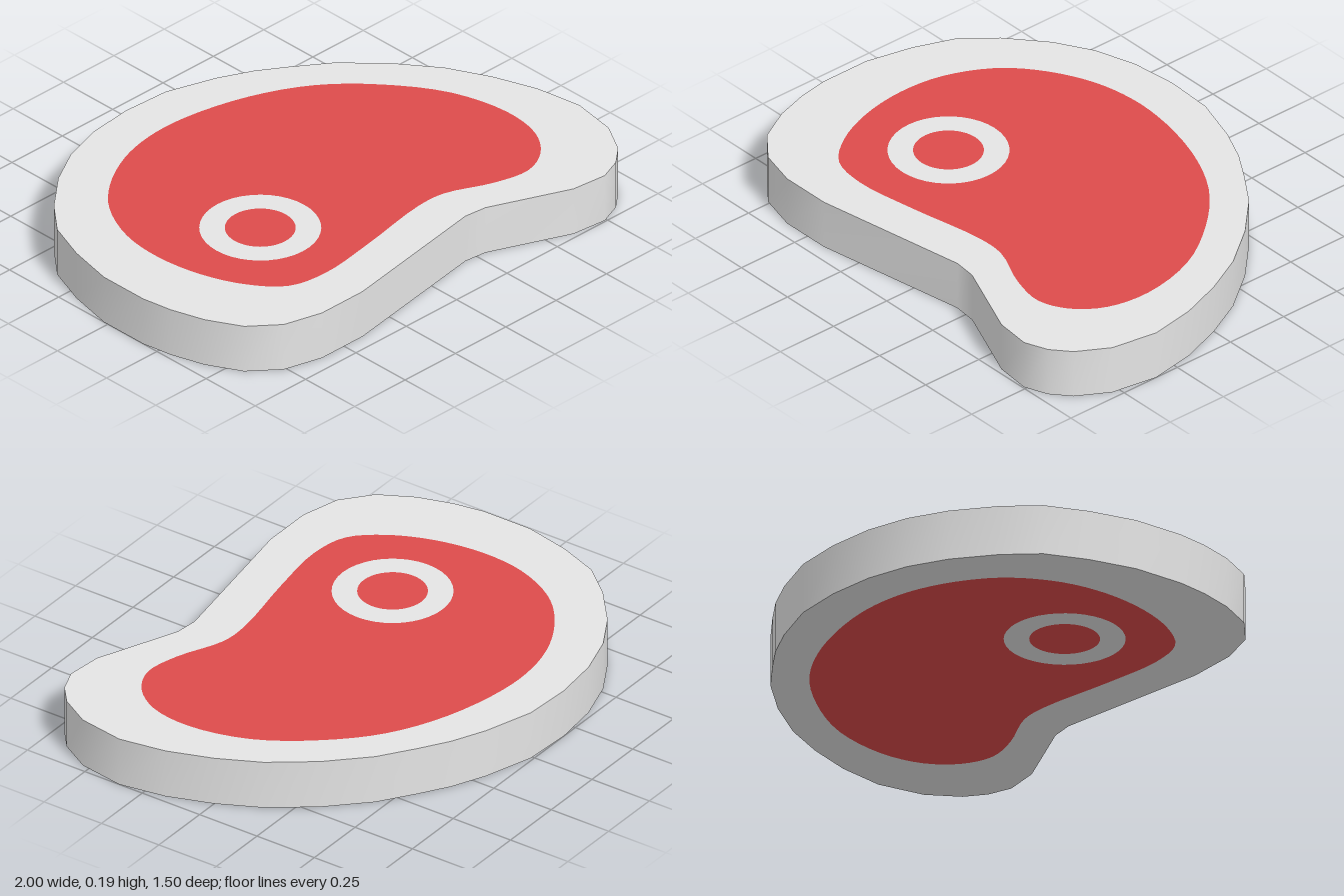
import * as THREE from 'three';

const HEIGHT = 0.19;

// Outer edge of the slab as [x, z], clockwise from above
const OUTLINE = [
  [-1, -0.02], [-0.96, -0.2], [-0.9, -0.36], [-0.8, -0.48], [-0.66, -0.6], [-0.52, -0.68],
  [-0.36, -0.73], [-0.18, -0.75], [0.01, -0.74], [0.2, -0.68], [0.33, -0.62], [0.44, -0.55],
  [0.57, -0.46], [0.71, -0.32], [0.83, -0.16], [0.91, 0], [0.97, 0.17], [1, 0.35],
  [0.97, 0.53], [0.9, 0.65], [0.83, 0.71], [0.74, 0.745], [0.6, 0.73], [0.29, 0.6],
  [0.2, 0.59], [-0.41, 0.69], [-0.61, 0.69], [-0.76, 0.65], [-0.87, 0.56], [-0.94, 0.43],
  [-0.98, 0.3], [-1, 0.18],
];

// Control points for the edge between fat and meat
const MEAT = [
  [-0.77, 0.02], [-0.75, -0.16], [-0.67, -0.33], [-0.56, -0.44], [-0.4, -0.53], [-0.24, -0.57],
  [-0.06, -0.57], [0.2, -0.51], [0.42, -0.4], [0.59, -0.24], [0.73, -0.03], [0.785, 0.2],
  [0.76, 0.37], [0.68, 0.48], [0.57, 0.53], [0.43, 0.505], [0.25, 0.43], [0.13, 0.425],
  [-0.18, 0.48], [-0.42, 0.51], [-0.57, 0.48], [-0.67, 0.37], [-0.74, 0.21],
];

function smoothLoop(points, count) {
  const curve = new THREE.CatmullRomCurve3(points.map(([x, z]) => new THREE.Vector3(x, 0, z)), true);
  return curve.getPoints(count).slice(0, count).map((p) => [p.x, p.z]);
}

function circleLoop(cx, cz, radius, count = 40) {
  return Array.from({ length: count }, (_, i) => {
    const a = (i / count) * Math.PI * 2;
    return [cx + radius * Math.cos(a), cz + radius * Math.sin(a)];
  });
}

// Flat region between an outer loop and an optional hole, facing up or down
function faceGeometry(outer, hole, isTop) {
  const sign = isTop ? -1 : 1;
  const toPoints = (loop) => loop.map(([x, z]) => new THREE.Vector2(x, sign * z));
  const shape = new THREE.Shape(toPoints(outer));
  if (hole) shape.holes.push(new THREE.Path(toPoints(hole)));
  const geometry = new THREE.ShapeGeometry(shape);
  geometry.rotateX(sign * Math.PI / 2);
  geometry.translate(0, isTop ? HEIGHT : 0, 0);
  return geometry;
}

// Smooth upright wall around the outline
function wallGeometry(loop) {
  const n = loop.length;
  const positions = [];
  const indices = [];
  loop.forEach(([x, z], i) => {
    positions.push(x, 0, z, x, HEIGHT, z);
    const a = 2 * i;
    const b = 2 * ((i + 1) % n);
    indices.push(a, a + 1, b, b, a + 1, b + 1);
  });
  const geometry = new THREE.BufferGeometry();
  geometry.setAttribute('position', new THREE.Float32BufferAttribute(positions, 3));
  geometry.setIndex(indices);
  geometry.computeVertexNormals();
  return geometry;
}

export function createModel() {
  const steak = new THREE.Group();
  steak.name = 'steak';

  const fat = new THREE.MeshStandardMaterial({ color: 0xe4e4e4 });
  fat.name = 'pale fat';
  const meat = new THREE.MeshStandardMaterial({ color: 0xdd4b4b });
  meat.name = 'red meat';

  const add = (name, geometry, material) => {
    const mesh = new THREE.Mesh(geometry, material);
    mesh.name = name;
    steak.add(mesh);
  };

  const meatLoop = smoothLoop(MEAT, 92);
  const boneOuter = circleLoop(-0.375, 0.135, 0.217);
  const boneInner = circleLoop(-0.375, 0.135, 0.126);

  add('fatEdge', wallGeometry(OUTLINE), fat);

  // Nested regions, the same on the top and the underside
  for (const isTop of [true, false]) {
    const side = isTop ? 'top' : 'bottom';
    add(side + 'FatRim', faceGeometry(OUTLINE, meatLoop, isTop), fat);
    add(side + 'Meat', faceGeometry(meatLoop, boneOuter, isTop), meat);
    add(side + 'BoneRing', faceGeometry(boneOuter, boneInner, isTop), fat);
    add(side + 'Marrow', faceGeometry(boneInner, null, isTop), meat);
  }
  return steak;
}
